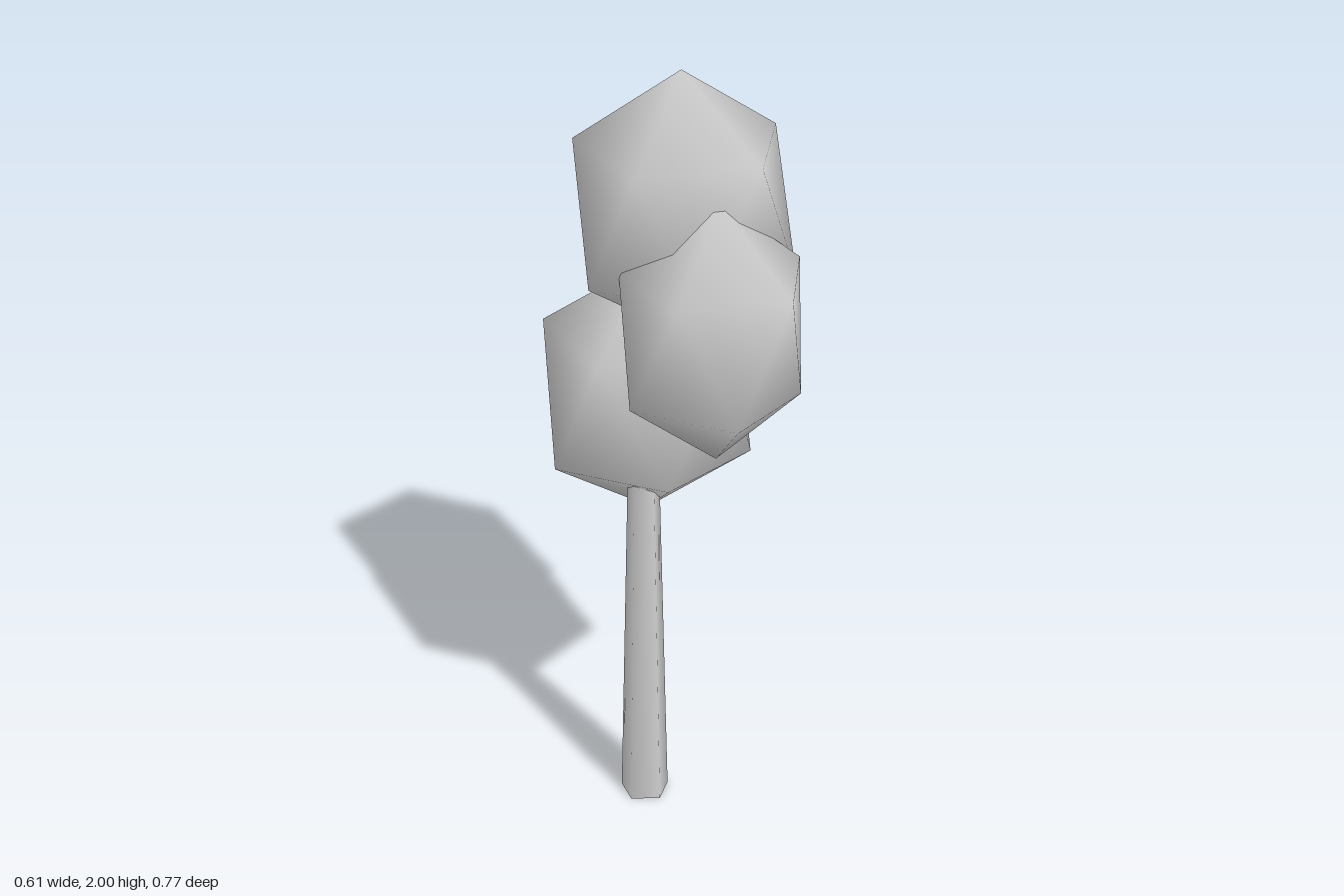
import * as THREE from 'three';

// Twelve-cornered foliage clump: two poles and two staggered rings of five.
// upper / lower list the ring radii, starting at +x and turning towards +z.
function clumpGeometry({ half, upperY, lowerY, upper, lower }) {
  const pos = [0, half, 0];
  const ring = (radii, y, turn) => radii.forEach((r, i) => {
    const a = (i + turn) * Math.PI * 2 / 5;
    pos.push(Math.cos(a) * r, y, Math.sin(a) * r);
  });
  ring(upper, upperY, 0);
  ring(lower, lowerY, 0.5);
  pos.push(0, -half, 0);

  const index = [];
  for (let i = 0; i < 5; i++) {
    const j = (i + 1) % 5;
    const u = 1 + i, u2 = 1 + j, l = 6 + i, l2 = 6 + j;
    index.push(0, u2, u, u, u2, l, l, u2, l2, 11, l, l2);
  }
  const geo = new THREE.BufferGeometry();
  geo.setAttribute('position', new THREE.Float32BufferAttribute(pos, 3));
  geo.setIndex(index);
  geo.computeVertexNormals();
  return geo;
}

export function createModel() {
  const group = new THREE.Group();
  const grey = new THREE.MeshStandardMaterial({ color: 0xcccccc });
  grey.name = 'pale grey';

  const add = (name, geo, x = 0, y = 0, z = 0) => {
    const mesh = new THREE.Mesh(geo, grey);
    mesh.name = name;
    mesh.position.set(x, y, z);
    group.add(mesh);
  };

  // Five-sided tapering trunk, leaning slightly
  const height = 1.0;
  const trunk = new THREE.CylinderGeometry(0.042, 0.066, height, 5, 1, false, -Math.PI * 0.75);
  trunk.translate(0, height / 2, 0);
  trunk.applyMatrix4(new THREE.Matrix4().makeShear(0, 0, 0.013, -0.017, 0, 0));
  const p = trunk.attributes.position;
  for (let i = 0; i < p.count; i++) {
    // undo any shear ambiguity: lean is set directly from the height
    const y = p.getY(i), top = y > height / 2;
    const n = trunk.attributes.normal;
    if (Math.abs(n.getY(i)) > 0.9) n.setXYZ(i, 0, top ? 1 : -1, 0);
  }
  add('trunk', trunk, -0.14, 0, 0.037);

  // Three overlapping foliage clumps
  add('lowerFoliage', clumpGeometry({
    half: 0.355, upperY: 0.18, lowerY: -0.172,
    upper: [0.26, 0.27, 0.296, 0.273, 0.272],
    lower: [0.27, 0.268, 0.277, 0.251, 0.291],
  }), -0.03, 1.125, -0.13);

  add('middleFoliage', clumpGeometry({
    half: 0.353, upperY: 0.157, lowerY: -0.155,
    upper: [0.239, 0.246, 0.247, 0.245, 0.243],
    lower: [0.213, 0.25, 0.248, 0.245, 0.266],
  }), 0.015, 1.38, 0.145);

  add('upperFoliage', clumpGeometry({
    half: 0.355, upperY: 0.166, lowerY: -0.177,
    upper: [0.274, 0.268, 0.277, 0.273, 0.273],
    lower: [0.292, 0.245, 0.266, 0.276, 0.304],
  }), 0.033, 1.645, -0.066);

  return group;
}
